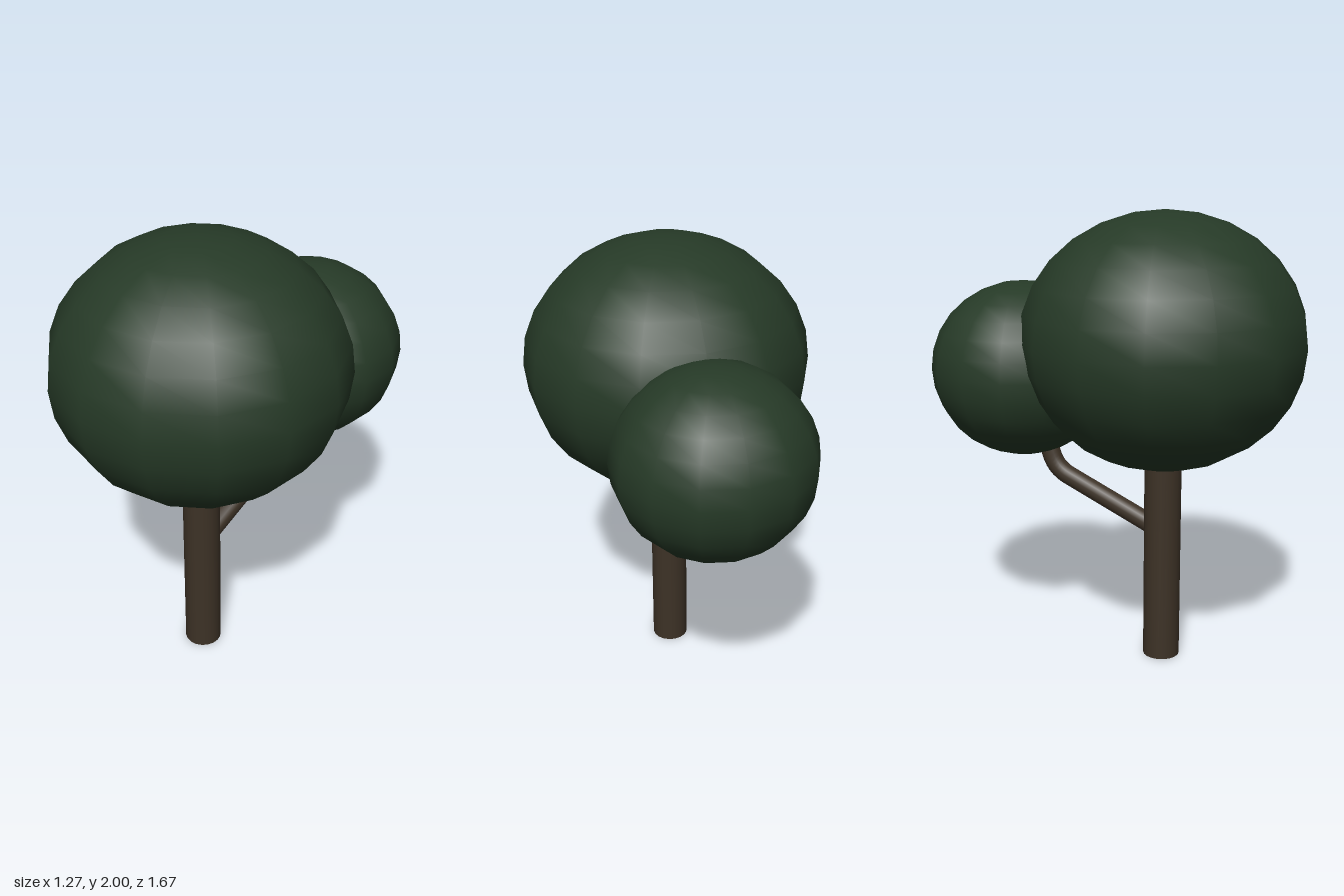
import * as THREE from 'three';

export function createModel() {
  const tree = new THREE.Group();
  tree.name = 'tree';
  const leafMaterial = new THREE.MeshStandardMaterial({ color: 0x263a27 });
  const barkMaterial = new THREE.MeshStandardMaterial({ color: 0x3d3226 });

  const add = (name, geometry, material) => {
    const mesh = new THREE.Mesh(geometry, material);
    mesh.name = name;
    tree.add(mesh);
    return mesh;
  };

  // Slightly flattened ball of leaves
  const addCrown = (name, position, radius, halfHeight) => {
    const crown = add(name, new THREE.SphereGeometry(1, 14, 14), leafMaterial);
    crown.position.set(...position);
    crown.scale.set(radius, halfHeight, radius);
    crown.rotation.y = -0.13;
  };
  addCrown('mainCrown', [-0.017, 1.445, 0.213], 0.622, 0.555);
  addCrown('sideCrown', [0.217, 1.285, -0.419], 0.418, 0.395);

  // Trunk, ending inside the main crown
  const trunk = add('trunk', new THREE.CylinderGeometry(0.082, 0.082, 1.0, 18), barkMaterial);
  trunk.position.set(-0.018, 0.5, 0.215);

  // Branch: straight out of the trunk, a rounded elbow, then up into the side crown
  const start = new THREE.Vector3(0.008, 0.595, 0.19);
  const bendIn = new THREE.Vector3(0.145, 0.8, -0.22);
  const elbow = new THREE.Vector3(0.164, 0.832, -0.276);
  const bendOut = new THREE.Vector3(0.17, 0.89, -0.293);
  const end = new THREE.Vector3(0.19, 1.06, -0.35);
  const path = new THREE.CurvePath();
  path.add(new THREE.LineCurve3(start, bendIn));
  path.add(new THREE.QuadraticBezierCurve3(bendIn, elbow, bendOut));
  path.add(new THREE.LineCurve3(bendOut, end));
  add('branch', new THREE.TubeGeometry(path, 40, 0.044, 12), barkMaterial);

  return tree;
}
